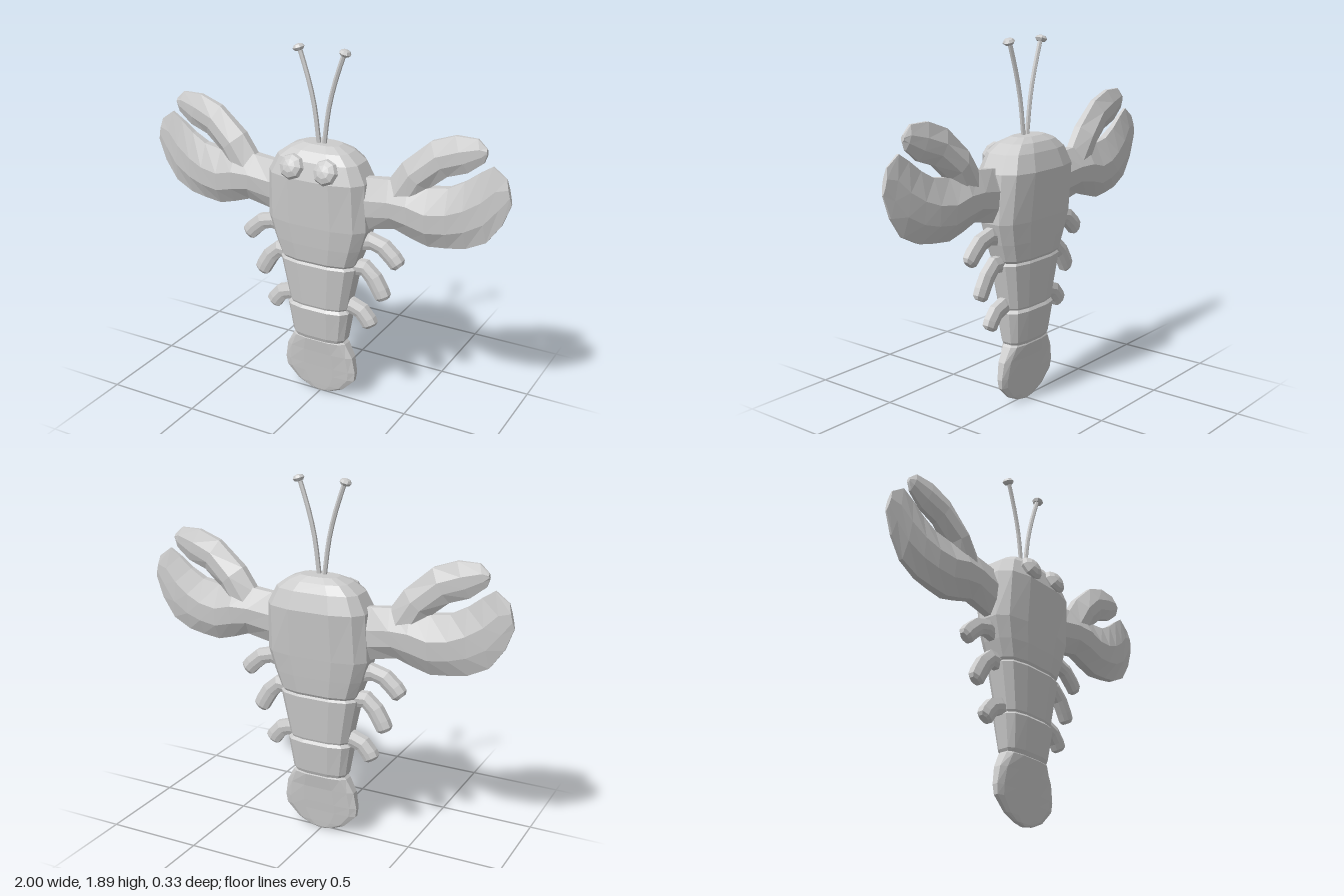
import * as THREE from 'three';

const material = new THREE.MeshStandardMaterial({ color: 0xcccccc, flatShading: true, side: THREE.DoubleSide });
const Z = -0.01; // middle plane of the thin parts

function mesh(name, geometry) {
  const m = new THREE.Mesh(geometry, material);
  m.name = name;
  return m;
}

// Skin a list of equal-sized rings of [x, y, z] points and cap both ends.
function loft(rings) {
  const n = rings[0].length, tris = [];
  for (let i = 0; i < rings.length - 1; i++) {
    for (let j = 0; j < n; j++) {
      const k = (j + 1) % n, a = rings[i], b = rings[i + 1];
      tris.push([a[j], a[k], b[k]], [a[j], b[k], b[j]]);
    }
  }
  const last = rings[rings.length - 1];
  for (let j = 1; j < n - 1; j++) {
    tris.push([rings[0][0], rings[0][j + 1], rings[0][j]], [last[0], last[j], last[j + 1]]);
  }
  // Signed volume tells whether the faces point outwards
  const v = (p) => new THREE.Vector3(...p);
  const volume = tris.reduce((s, [a, b, c]) => s + v(a).dot(v(b).cross(v(c))), 0);
  if (volume < 0) tris.forEach((t) => t.reverse());
  const g = new THREE.BufferGeometry();
  g.setAttribute('position', new THREE.Float32BufferAttribute(tris.flat(2), 3));
  g.computeVertexNormals();
  return g;
}

// Horizontal body ring: [height, half width, front z, back z]
function bodyRing([y, w, front, back]) {
  const c = (front + back) / 2, d = (front - back) / 2;
  const quarter = [[1, 0.42], [0.83, 0.8], [0.42, 1]];
  const mirrored = [...quarter].reverse();
  return [
    ...quarter.map(([a, b]) => [a, b]), ...mirrored.map(([a, b]) => [-a, b]),
    ...quarter.map(([a, b]) => [-a, -b]), ...mirrored.map(([a, b]) => [a, -b]),
  ].map(([a, b]) => [a * w, y, c + b * d]);
}

// Lens-shaped ring between a lower and an upper edge point: [x0, y0, x1, y1, half thickness]
function lensRing([x0, y0, x1, y1, t], rim = 0.3) {
  const side = [[0, rim], [0.28, 0.9], [0.6, 1], [1, rim]];
  const at = ([v, h], s) => [x0 + (x1 - x0) * v, y0 + (y1 - y0) * v, Z + s * h * t];
  return [...side.map((p) => at(p, 1)), ...side.reverse().map((p) => at(p, -1))];
}

// Leg rings set square to a centre path
function legRings(path, width) {
  const curve = new THREE.CatmullRomCurve3(path.map(([x, y]) => new THREE.Vector3(x, y, 0)));
  return [[0, 1], [0.3, 1], [0.55, 1], [0.8, 1], [0.94, 0.95], [1, 0.6]].map(([u, s]) => {
    const p = curve.getPointAt(u), d = curve.getTangentAt(u), h = width * s / 2;
    return lensRing([p.x + d.y * h, p.y - d.x * h, p.x - d.y * h, p.y + d.x * h, 0.032 * s], 0.55);
  });
}

// Claw, legs, antenna and eye of one side
function buildSide(name) {
  const side = new THREE.Group();
  side.name = name;

  side.add(mesh('clawPalm', loft([
    [0.22, 1.02, 0.22, 1.27, 0.058],
    [0.28, 1.01, 0.28, 1.28, 0.062],
    [0.42, 1.04, 0.38, 1.29, 0.074],
    [0.51, 1.01, 0.49, 1.31, 0.08],
    [0.60, 0.985, 0.59, 1.285, 0.076],
    [0.70, 0.995, 0.69, 1.30, 0.064],
    [0.79, 1.01, 0.77, 1.345, 0.05],
    [0.89, 1.06, 0.84, 1.40, 0.036],
    [0.96, 1.16, 0.90, 1.44, 0.022],
    [1.0, 1.27, 0.97, 1.39, 0.012],
  ].map((r) => lensRing(r)))));

  side.add(mesh('clawFinger', loft([
    [0.52, 1.15, 0.36, 1.26, 0.06],
    [0.585, 1.275, 0.45, 1.39, 0.066],
    [0.68, 1.355, 0.59, 1.515, 0.048],
    [0.78, 1.39, 0.71, 1.56, 0.036],
    [0.855, 1.45, 0.82, 1.56, 0.022],
    [0.87, 1.49, 0.865, 1.52, 0.01],
  ].map((r) => lensRing(r)))));

  const legs = [
    ['frontLeg', [[0.20, 0.92], [0.31, 0.94], [0.38, 0.90], [0.445, 0.83]], 0.085],
    ['middleLeg', [[0.17, 0.78], [0.255, 0.785], [0.31, 0.73], [0.365, 0.63]], 0.085],
    ['rearLeg', [[0.12, 0.555], [0.21, 0.55], [0.255, 0.52], [0.295, 0.457]], 0.085],
  ];
  for (const [legName, path, width] of legs) side.add(mesh(legName, loft(legRings(path, width))));

  // Thin feeler with a small faceted knob
  const feeler = new THREE.CatmullRomCurve3([[0.012, 1.38], [0.04, 1.59], [0.075, 1.73], [0.122, 1.87]]
    .map(([x, y]) => new THREE.Vector3(x, y, Z)));
  side.add(mesh('antenna', new THREE.TubeGeometry(feeler, 7, 0.012, 6)));
  const knob = mesh('antennaTip', new THREE.SphereGeometry(0.031, 8, 4));
  knob.scale.y = 0.6;
  knob.position.set(0.128, 1.875, Z);
  knob.rotation.z = -0.3;
  side.add(knob);

  // Flattened eye facing forwards and slightly up
  const eye = mesh('eye', new THREE.SphereGeometry(0.068, 8, 6).rotateX(Math.PI / 2));
  eye.scale.z = 0.58;
  eye.position.set(0.095, 1.31, 0.122);
  eye.rotation.x = -0.4;
  side.add(eye);
  return side;
}

export function createModel() {
  const model = new THREE.Group();
  model.name = 'lobster';

  // Overlapping shell sections, top to bottom
  const shell = {
    thorax: [[1.41, 0.10, 0.03, -0.08], [1.385, 0.165, 0.075, -0.115], [1.34, 0.225, 0.11, -0.14],
      [1.25, 0.27, 0.135, -0.165], [1.0, 0.278, 0.118, -0.14], [0.89, 0.245, 0.107, -0.127],
      [0.80, 0.212, 0.095, -0.115], [0.78, 0.195, 0.083, -0.103]],
    upperAbdomen: [[0.80, 0.19, 0.08, -0.10], [0.775, 0.215, 0.095, -0.113],
      [0.54, 0.167, 0.073, -0.09], [0.52, 0.155, 0.065, -0.083]],
    lowerAbdomen: [[0.54, 0.15, 0.06, -0.08], [0.515, 0.178, 0.08, -0.096],
      [0.35, 0.152, 0.058, -0.075], [0.33, 0.14, 0.05, -0.067]],
    tailFan: [[0.345, 0.135, 0.042, -0.062], [0.325, 0.155, 0.05, -0.07], [0.25, 0.195, 0.038, -0.055],
      [0.16, 0.21, 0.026, -0.043], [0.11, 0.203, 0.02, -0.036], [0.04, 0.135, 0.012, -0.028],
      [0.01, 0.07, 0.008, -0.024], [0, 0.02, 0.004, -0.02]],
  };
  for (const [name, rings] of Object.entries(shell)) model.add(mesh(name, loft(rings.map(bodyRing))));

  const left = buildSide('leftSide');
  const right = buildSide('rightSide');
  right.scale.x = -1;
  model.add(left, right);
  return model;
}
